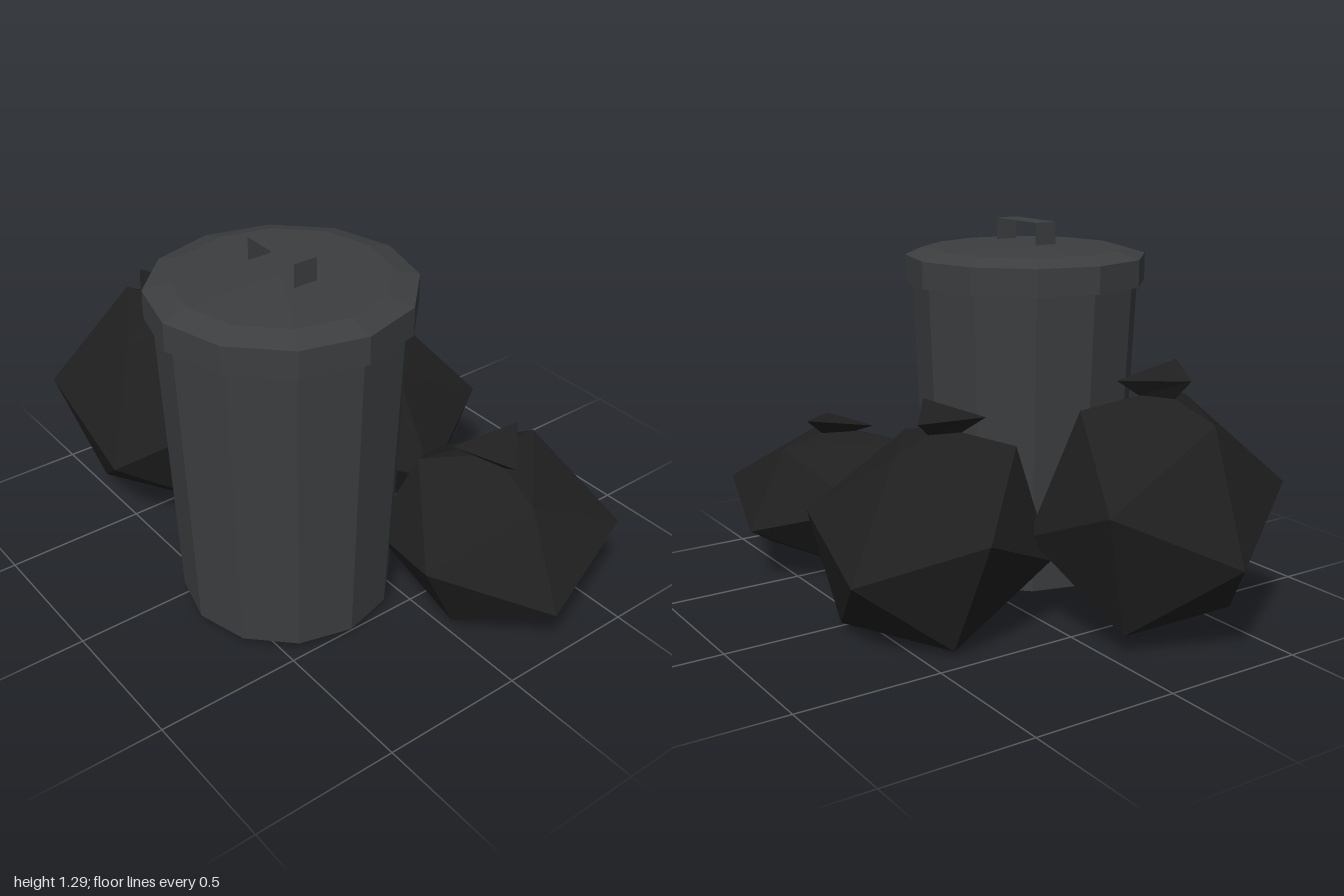
import * as THREE from 'three';

const CAN = { x: 0.158, z: 0.273 };
const canMat = new THREE.MeshStandardMaterial({ color: 0x3c3e40, flatShading: true });
const handleMat = new THREE.MeshStandardMaterial({ color: 0x3c3e40, flatShading: true, side: THREE.DoubleSide });
const bagMat = new THREE.MeshStandardMaterial({ color: 0x202020, flatShading: true });

// Twelve-sided turned part
function turned(name, profile) {
  const points = profile.map(([r, y]) => new THREE.Vector2(r, y));
  const mesh = new THREE.Mesh(new THREE.LatheGeometry(points, 12), canMat);
  mesh.name = name;
  return mesh;
}

// Thin strap bent over the lid: foot, leg, grip, leg, foot
function makeHandle() {
  const path = [[-0.178, 1.217], [-0.12, 1.217], [-0.12, 1.295], [0.12, 1.295], [0.12, 1.217], [0.178, 1.217]];
  const pos = [], index = [];
  path.forEach(([x, y], i) => {
    pos.push(x, y, 0.043, x, y, -0.043);
    if (i) {
      const a = 2 * (i - 1);
      index.push(a, a + 2, a + 1, a + 1, a + 2, a + 3);
    }
  });
  const g = new THREE.BufferGeometry();
  g.setAttribute('position', new THREE.Float32BufferAttribute(pos, 3));
  g.setIndex(index);
  const flat = g.toNonIndexed();
  flat.computeVertexNormals();
  const mesh = new THREE.Mesh(flat, handleMat);
  mesh.name = 'lidHandle';
  return mesh;
}

// Tied bag: a squashed icosahedron whose top face rises to a neck and flares out.
// heights: bottom, low belly, high belly, shoulder, neck, flare
function makeBag({ name, x, z, radius, turn, heights, lean, tilt, flareTilt }) {
  const [yB, yL, yH, yT, yN, yF] = heights;
  const pos = [];
  const ring = (r, y, offset, [sx, sz] = tilt) => {
    const ids = [];
    const t = (y - yB) / (yT - yB) - 0.5;
    for (let k = 0; k < 3; k++) {
      const a = THREE.MathUtils.degToRad(turn + offset + 120 * k);
      const dx = r * Math.cos(a), dz = r * Math.sin(a);
      ids.push(pos.length / 3);
      pos.push(x + dx + lean[0] * t, y + sx * dx + sz * dz, z + dz + lean[1] * t);
    }
    return ids;
  };
  const B = ring(radius * 0.63, yB, 60);
  const L = ring(radius, yL, 0);
  const H = ring(radius, yH, 60);
  const T = ring(radius * 0.615, yT, 0);
  const N = ring(0.07, yN, 0);
  const F = ring(0.142, yF, 0, flareTilt);

  const index = [B[0], B[1], B[2], F[2], F[1], F[0]];
  for (let k = 0; k < 3; k++) {
    const n = (k + 1) % 3;
    index.push(
      B[k], L[n], B[n], L[k], H[k], B[k], H[k], L[n], B[k], // underside and belly
      L[k], T[k], H[k], H[k], T[n], L[n], T[k], T[n], H[k], // shoulders
      T[k], N[k], T[n], T[n], N[k], N[n],                   // gathered top
      N[k], F[k], N[n], N[n], F[k], F[n]                    // flared tie
    );
  }
  const g = new THREE.BufferGeometry();
  g.setAttribute('position', new THREE.Float32BufferAttribute(pos, 3));
  g.setIndex(index);
  const flat = g.toNonIndexed();
  flat.computeVertexNormals();
  const mesh = new THREE.Mesh(flat, bagMat);
  mesh.name = name;
  return mesh;
}

export function createModel() {
  const model = new THREE.Group();
  model.name = 'trashCanWithBags';

  // Can with its lid and handle
  const can = new THREE.Group();
  can.name = 'trashCan';
  can.position.set(CAN.x, 0, CAN.z);
  can.add(
    turned('canBody', [[0, 0.03], [0.36, 0.03], [0.405, 1.09]]),
    turned('lid', [[0.395, 1.08], [0.43, 1.08], [0.43, 1.175], [0.345, 1.2], [0, 1.203]]),
    makeHandle()
  );
  model.add(can);

  // Bags piled around the can
  model.add(
    makeBag({
      name: 'rightBag', x: -0.585, z: 0.273, radius: 0.416, turn: 180,
      heights: [0.07, 0.33, 0.505, 0.752, 0.8, 0.87], lean: [-0.01, 0], tilt: [0, 0], flareTilt: [0, 0.18]
    }),
    makeBag({
      name: 'backBag', x: -0.162, z: -0.335, radius: 0.41, turn: 5,
      heights: [0.017, 0.25, 0.395, 0.625, 0.665, 0.725], lean: [0.01, 0.09], tilt: [-0.02, -0.045], flareTilt: [0.15, 0]
    }),
    makeBag({
      name: 'leftBag', x: 0.6, z: -0.28, radius: 0.415, turn: 15,
      heights: [0.04, 0.2, 0.31, 0.487, 0.515, 0.556], lean: [-0.055, -0.02], tilt: [-0.02, -0.02], flareTilt: [0, -0.15]
    })
  );
  return model;
}
